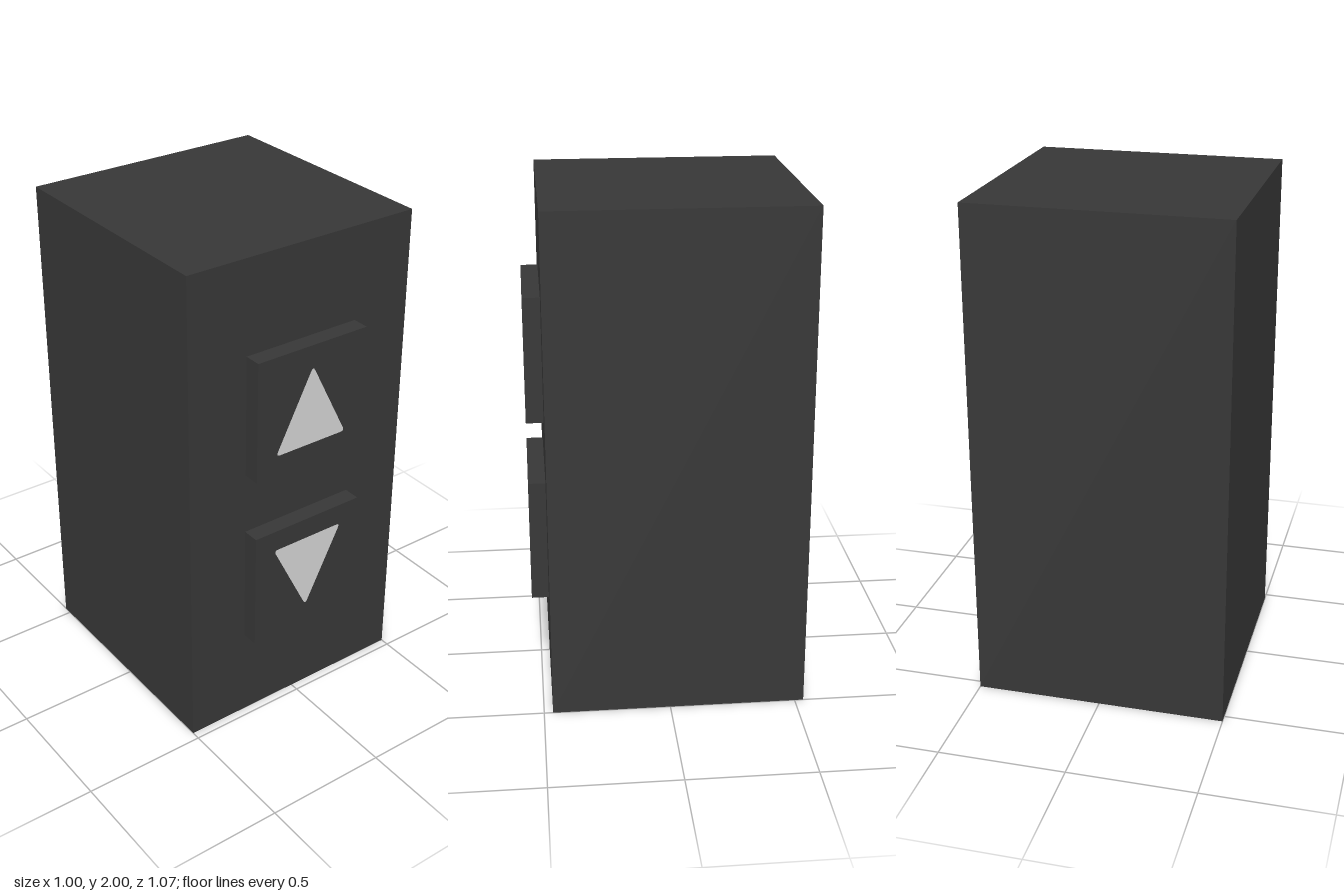
import * as THREE from 'three';

export function createModel() {
  const group = new THREE.Group();
  const casing = new THREE.MeshStandardMaterial({ name: 'charcoal', color: 0x373737 });
  const pale = new THREE.MeshStandardMaterial({ name: 'paleGrey', color: 0xd2d2d2 });

  const add = (parent, name, geometry, material, x, y, z) => {
    const mesh = new THREE.Mesh(geometry, material);
    mesh.name = name;
    mesh.position.set(x, y, z);
    parent.add(mesh);
    return mesh;
  };

  // Tall square housing
  add(group, 'housing', new THREE.BoxGeometry(1, 2, 1), casing, 0, 1, -0.035);

  // Upward triangle with slightly softened corners
  const triangle = new THREE.Shape();
  triangle.moveTo(-0.145, -0.162);
  triangle.lineTo(0.145, -0.162);
  triangle.quadraticCurveTo(0.162, -0.162, 0.154, -0.145);
  triangle.lineTo(0.009, 0.145);
  triangle.quadraticCurveTo(0, 0.162, -0.009, 0.145);
  triangle.lineTo(-0.154, -0.145);
  triangle.quadraticCurveTo(-0.162, -0.162, -0.145, -0.162);
  const arrowGeometry = new THREE.ShapeGeometry(triangle, 4);

  // Raised square buttons, each with an arrow on its face
  for (const [name, y, turn] of [['upButton', 1.375, 0], ['downButton', 0.628, Math.PI]]) {
    const button = new THREE.Group();
    button.name = name;
    button.position.y = y;
    add(button, name + 'Cap', new THREE.BoxGeometry(0.496, 0.496, 0.07), casing, 0, 0, 0.498);
    add(button, name + 'Arrow', arrowGeometry, pale, 0, 0, 0.535).rotation.z = turn;
    group.add(button);
  }
  return group;
}
